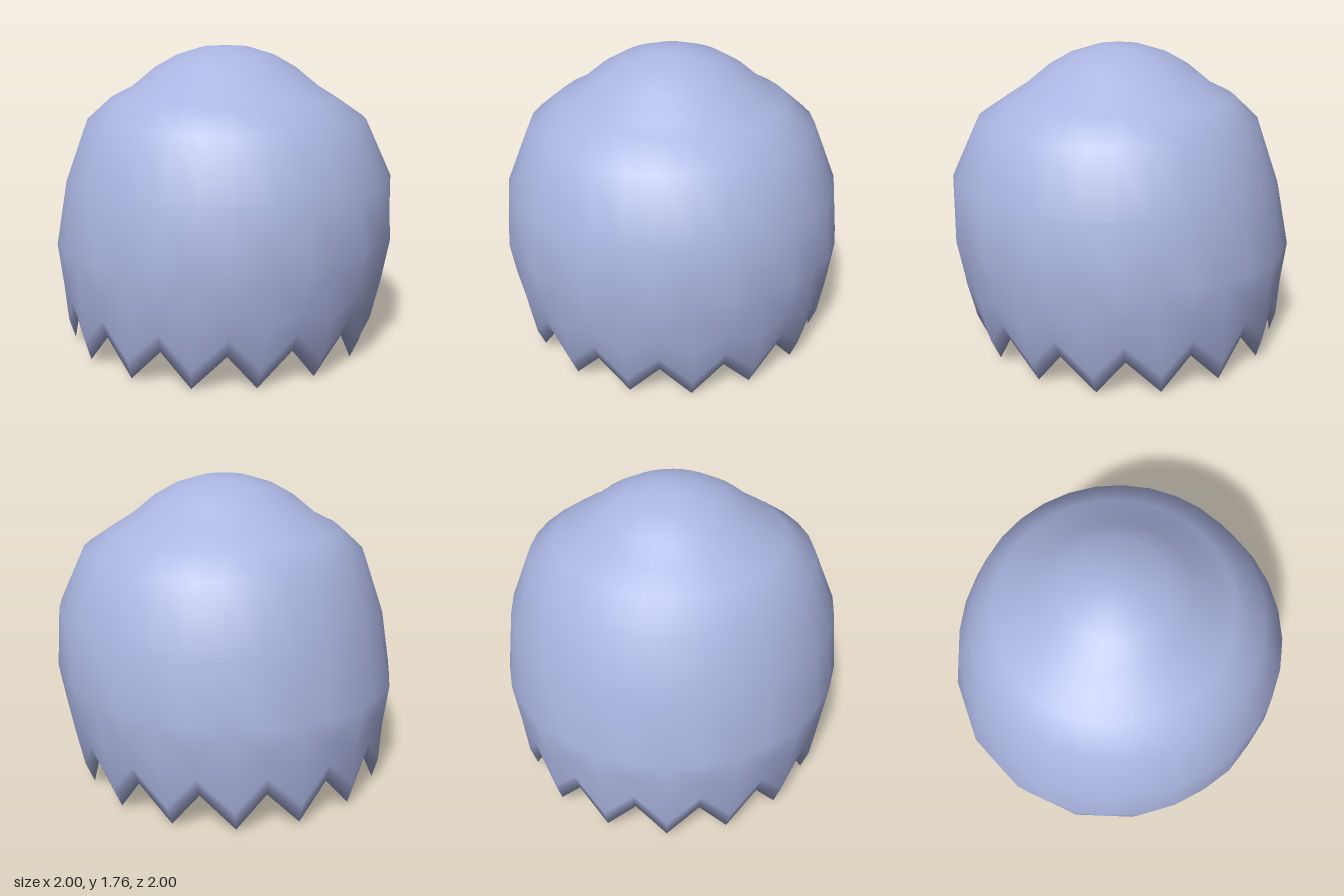
import * as THREE from 'three';
import { mergeVertices } from 'three/addons/utils/BufferGeometryUtils.js';

const TEETH = 16, COLS = TEETH * 2;

// Dome rings from the crown down: height, radius, z of the centre, tilt (rise per unit z)
const DOME = [
  [1.757, 0, 0, 0], [1.75, 0.13, 0, 0], [1.703, 0.285, 0, 0], [1.63, 0.415, 0, 0],
  [1.52, 0.55, 0, 0], [1.46, 0.66, -0.015, 0], [1.335, 0.82, 0.005, 0.01],
  [1.0, 0.958, 0.022, 0.02], [0.64, 1.0, 0, 0.04],
];

const round = ([y, r, zc, tilt]) =>
  ({ yTip: y, yGap: y, rTip: r, rGap: r, zTip: zc, zGap: zc, tilt, saw: false });

// The skirt leans further back the lower it gets
const lean = (y) => -0.096 * (0.64 - y);
const zigzag = (yTip, rTip, yGap, rGap) =>
  ({ yTip, rTip, yGap, rGap, zTip: lean(yTip), zGap: lean(yGap), tilt: -0.012, saw: true });

// Builds one open skin from a list of rings; odd columns are the tooth tips
function skin(rings) {
  const pos = [], idx = [];
  for (const g of rings) {
    for (let j = 0; j < COLS; j++) {
      const a = (j / COLS) * Math.PI * 2, tip = j % 2;
      // the widest ring is more angular at the front, fuller at the back
      const r = (tip ? g.rTip : g.rGap) * (g.facet && tip ? 1 - 0.02 * Math.cos(a) : 1);
      const z = r * Math.cos(a);
      pos.push(r * Math.sin(a), (tip ? g.yTip : g.yGap) + g.tilt * z, z + (tip ? g.zTip : g.zGap));
    }
  }
  for (let i = 0; i < rings.length - 1; i++) {
    const saw = rings[i].saw || rings[i + 1].saw;
    for (let j = 0; j < COLS; j++) {
      const k = (j + 1) % COLS;
      const a = i * COLS + j, a2 = i * COLS + k, b = a + COLS, b2 = a2 + COLS;
      // on the teeth, always split along the shorter diagonal
      if (saw && j % 2 === 0) idx.push(a, b, a2, a2, b, b2);
      else idx.push(a, b, b2, a, b2, a2);
    }
  }
  let geo = new THREE.BufferGeometry();
  geo.setAttribute('position', new THREE.Float32BufferAttribute(pos, 3));
  geo.setIndex(idx);
  geo = mergeVertices(geo, 1e-4);
  geo.computeVertexNormals();
  // the last ring is the saw-tooth edge: shade it as rolling under
  const normal = geo.attributes.normal;
  for (let v = normal.count - COLS; v < normal.count; v++) normal.setXYZ(v, 0, -1, 0);
  return geo;
}

export function createModel() {
  const group = new THREE.Group();
  group.name = 'jaggedShell';

  const dome = DOME.map(round);
  dome[dome.length - 1].facet = true;

  const shell = new THREE.Mesh(
    skin([
      ...dome,
      zigzag(0.36, 0.968, 0.46, 0.975), // skirt
      zigzag(0.122, 0.935, 0.32, 0.95), // top of the inward curl
      zigzag(0.005, 0.893, 0.205, 0.908), // saw-tooth edge
    ]),
    new THREE.MeshStandardMaterial({ color: 0xaab4e0, side: THREE.DoubleSide })
  );
  shell.name = 'shell';
  group.add(shell);
  return group;
}
